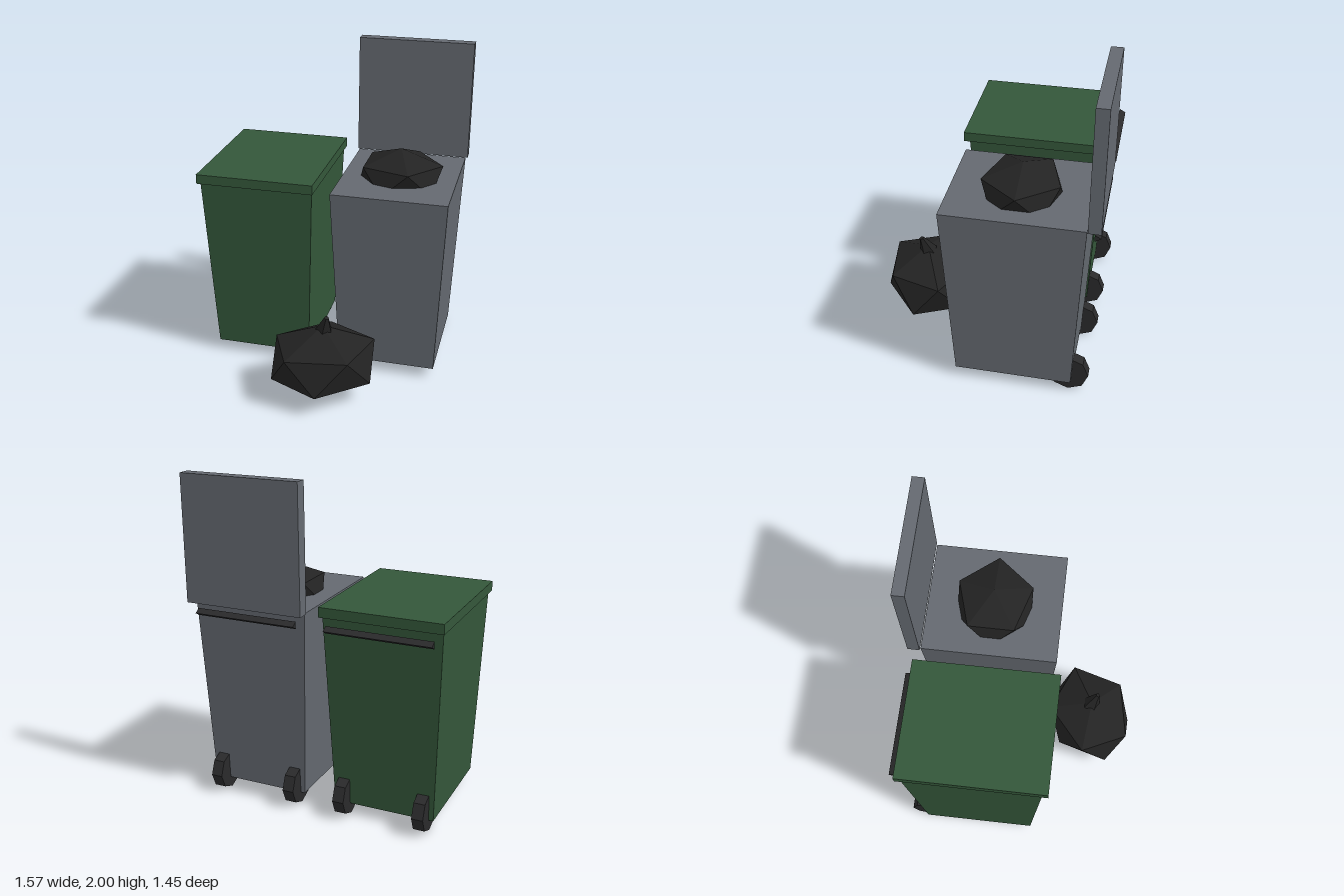
import * as THREE from 'three';

const material = (name, color) => {
  const m = new THREE.MeshStandardMaterial({ color });
  m.name = name;
  return m;
};

// Faceted normals for low-poly parts
function faceted(geometry) {
  const g = geometry.index ? geometry.toNonIndexed() : geometry;
  g.computeVertexNormals();
  return g;
}

function addPart(parent, name, geometry, mat, x, y, z) {
  const mesh = new THREE.Mesh(faceted(geometry), mat);
  mesh.name = name;
  mesh.position.set(x, y, z);
  parent.add(mesh);
  return mesh;
}

// Box that widens from its base to its rim
function binBody() {
  const g = new THREE.BoxGeometry(1, 1.17, 1);
  const p = g.attributes.position;
  for (let i = 0; i < p.count; i++) {
    const top = p.getY(i) > 0;
    p.setX(i, p.getX(i) * (top ? 0.715 : 0.62));
    p.setZ(i, p.getZ(i) * (top ? 0.835 : 0.715) + (top ? 0.005 : -0.005));
  }
  return g;
}

// Icosahedron standing on one corner, stretched into a stuffed bag
function bagShape(rx, ry, rz, turn) {
  return new THREE.IcosahedronGeometry(1, 0)
    .rotateZ(-Math.atan(2 / (1 + Math.sqrt(5))))
    .scale(rx, ry, rz)
    .rotateY(turn);
}

export function createModel() {
  const green = material('green plastic', 0x34573a);
  const grey = material('grey plastic', 0x646970);
  const rubber = material('dark rubber', 0x2a2a2b);
  const bagBlack = material('black bag', 0x232323);

  const model = new THREE.Group();
  model.name = 'wheelieBins';

  function makeBin(name, x, mat) {
    const bin = new THREE.Group();
    bin.name = name;
    bin.position.x = x;
    addPart(bin, 'body', binBody(), mat, 0, 0.655, -0.238);
    // Triangular push bar behind the rim
    addPart(bin, 'handle', new THREE.CylinderGeometry(0.025, 0.025, 0.64, 3)
      .rotateZ(Math.PI / 2).rotateY(Math.PI), rubber, 0, 1.178, -0.702);
    for (const side of [-1, 1]) {
      addPart(bin, side > 0 ? 'leftWheel' : 'rightWheel',
        new THREE.CylinderGeometry(0.12, 0.12, 0.07, 8).rotateZ(Math.PI / 2),
        rubber, side * 0.248, 0.12, -0.585);
    }
    model.add(bin);
    return bin;
  }

  // Closed bin
  const closedBin = makeBin('closedBin', -0.415, green);
  addPart(closedBin, 'closedLid', new THREE.BoxGeometry(0.74, 0.06, 0.9), green, 0, 1.27, -0.23);

  // Open bin with its lid upright and a bag inside
  const openBin = makeBin('openBin', 0.411, grey);
  addPart(openBin, 'openLid', new THREE.BoxGeometry(0.74, 0.76, 0.075), grey, 0, 1.62, -0.692);
  addPart(openBin, 'bagInBin', bagShape(0.296, 0.17, 0.27, 0), bagBlack, 0, 1.25, -0.235);

  // Bag on the ground with a slanted tied neck
  const groundBag = new THREE.Group();
  groundBag.name = 'groundBag';
  groundBag.position.set(0.08, 0.25, 0.447);
  addPart(groundBag, 'bag', bagShape(0.364, 0.24, 0.304, 0.436), bagBlack, 0, 0, 0);
  const knot = addPart(groundBag, 'bagKnot',
    new THREE.CylinderGeometry(0.015, 0.06, 0.13, 5), bagBlack, 0.018, 0.255, 0.015);
  knot.rotation.set(0.3, 0, -0.22);
  model.add(groundBag);

  return model;
}
